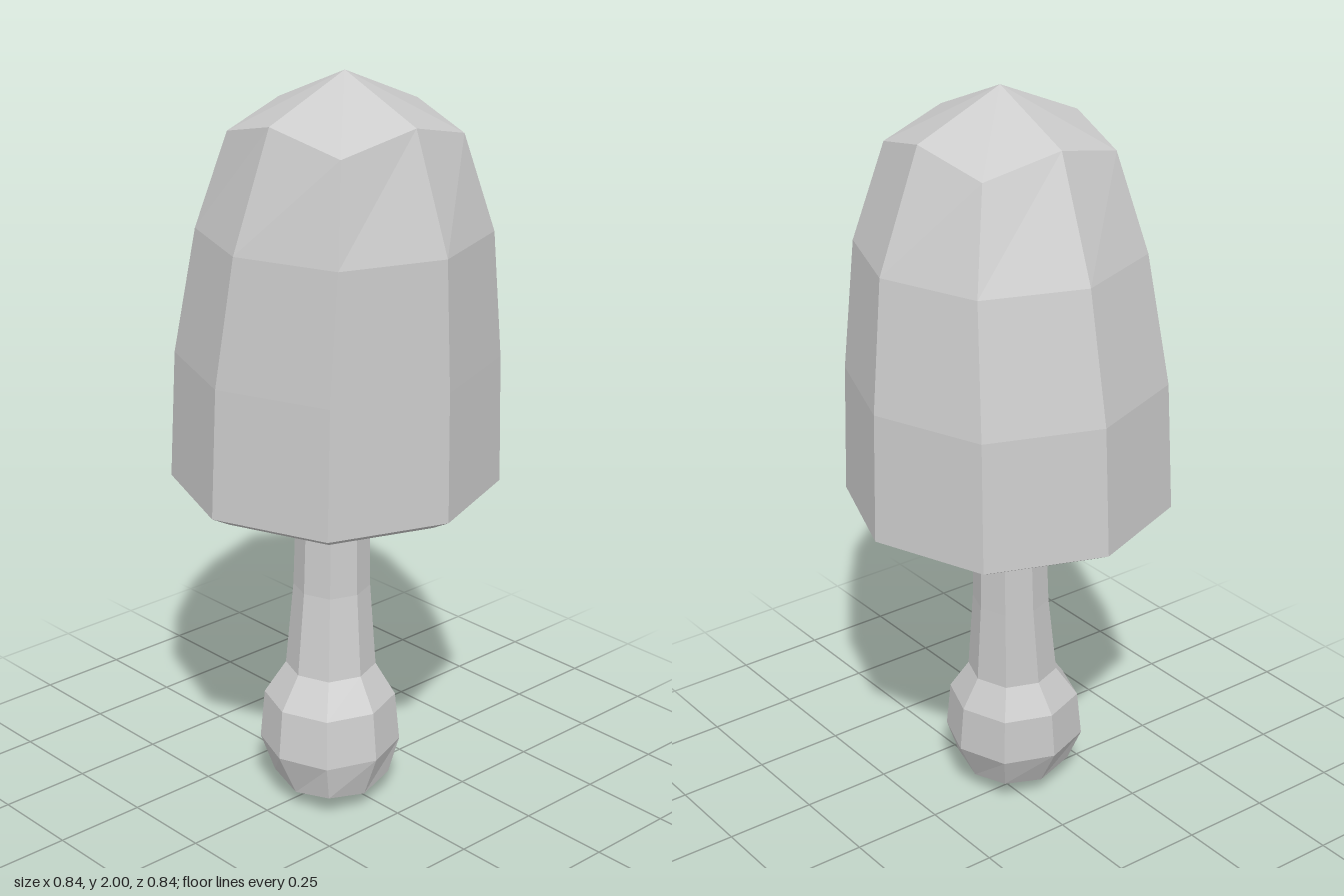
import * as THREE from 'three';

const SIDES = 8;

// One ring: height and radius on the axes, centre offset, height and radius on the diagonals
const ring = (y, r, cx, cz, yDiag = y, rDiag = r * 1.03) => ({ y, r, cx, cz, yDiag, rDiag });

function ringPoint(s, i) {
  const a = (i / SIDES) * Math.PI * 2;
  const diagonal = i % 2 === 1;
  const r = diagonal ? s.rDiag : s.r;
  return [s.cx + Math.sin(a) * r, diagonal ? s.yDiag : s.y, s.cz + Math.cos(a) * r];
}

// Skin a list of rings; a ring of zero radius closes the shape in a point
function skin(name, rings) {
  const pos = [];
  for (let k = 0; k < rings.length - 1; k++) {
    const lower = rings[k], upper = rings[k + 1];
    for (let i = 0; i < SIDES; i++) {
      const a = ringPoint(lower, i), b = ringPoint(lower, i + 1);
      const c = ringPoint(upper, i + 1), d = ringPoint(upper, i);
      if (lower.r > 0) pos.push(...a, ...b, ...c);
      if (upper.r > 0) pos.push(...a, ...c, ...d);
    }
  }
  const geometry = new THREE.BufferGeometry();
  geometry.setAttribute('position', new THREE.Float32BufferAttribute(pos, 3));
  geometry.computeVertexNormals();
  const material = new THREE.MeshStandardMaterial({ color: 0xcccccc, flatShading: true });
  const mesh = new THREE.Mesh(geometry, material);
  mesh.name = name;
  return mesh;
}

export function createModel() {
  const group = new THREE.Group();
  group.name = 'mushroom';

  // Tall cap, leaning slightly, with a lip and a hollow underside
  group.add(skin('cap', [
    ring(1.08, 0.08, 0, 0),
    ring(1.02, 0.25, 0, 0),
    ring(0.875, 0.365, 0, 0),
    ring(0.905, 0.42, 0, 0),
    ring(1.25, 0.408, 0.008, 0),
    ring(1.59, 0.365, 0.043, 0.008),
    ring(1.895, 0.248, 0.065, 0.025, 1.845, 0.292),
    ring(2.0, 0, 0.068, 0.03, 2.0, 0),
  ]));

  // Bent stem with a bulb at the foot
  group.add(skin('stem', [
    ring(0, 0, 0.04, 0.05, 0, 0),
    ring(0.045, 0.131, 0.038, 0.048, 0.063, 0.155),
    ring(0.16, 0.184, 0.025, 0.042),
    ring(0.29, 0.172, 0.017, 0.035),
    ring(0.375, 0.118, 0.01, 0.025),
    ring(0.6, 0.1, -0.002, 0.01),
    ring(0.87, 0.094, -0.006, 0.002),
    ring(1.1, 0.094, -0.006, 0),
  ]));

  return group;
}
